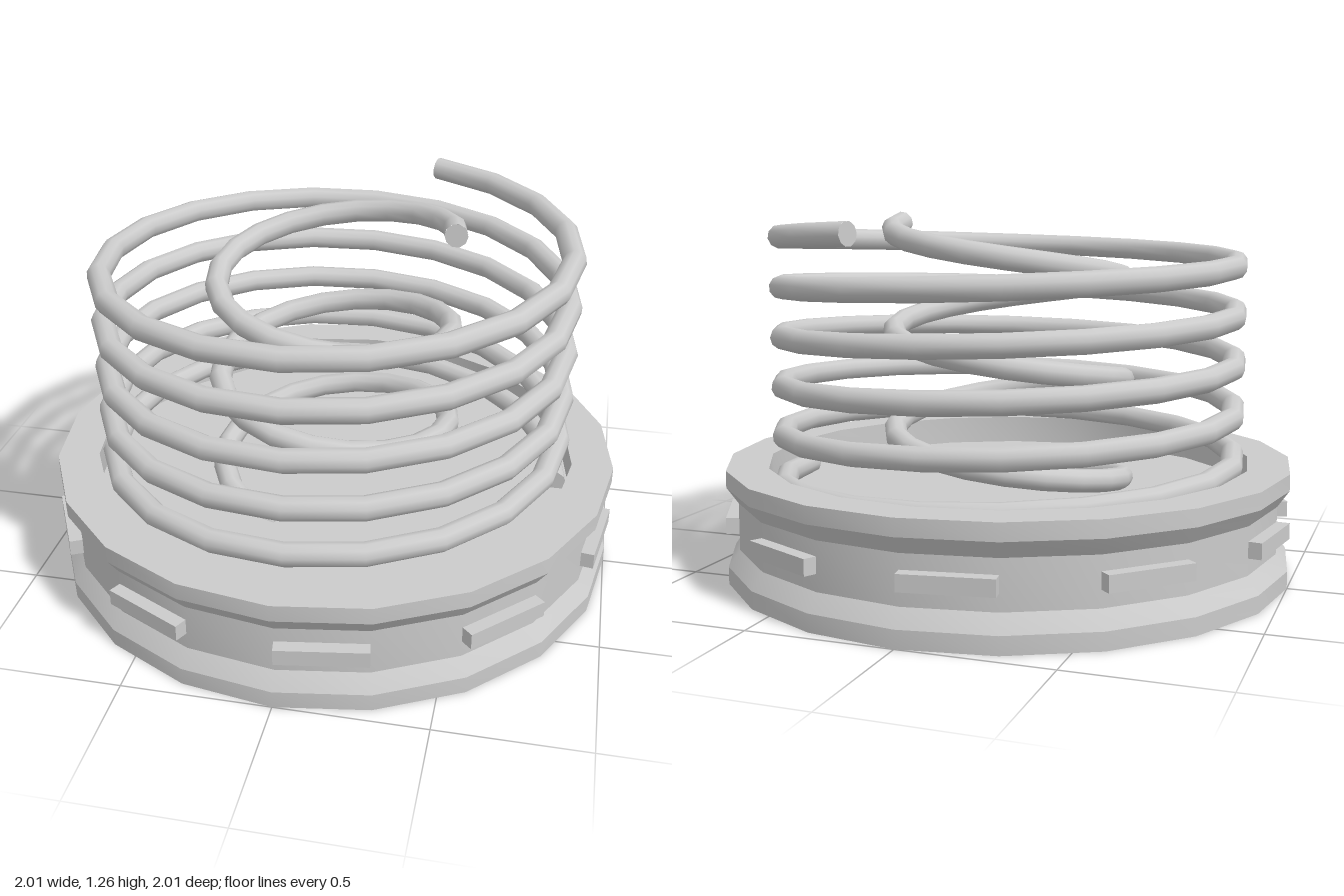
import * as THREE from 'three';
import { toCreasedNormals } from 'three/addons/utils/BufferGeometryUtils.js';

const SIDES = 20;
const material = new THREE.MeshStandardMaterial({ color: 0xcccccc });

function addMesh(parent, name, geometry) {
  const mesh = new THREE.Mesh(geometry, material);
  mesh.name = name;
  parent.add(mesh);
  return mesh;
}

class Helix extends THREE.Curve {
  // direction +1 turns from +x towards +z while climbing, -1 the other way
  constructor(radius, topY, pitch, turns, endAngle, direction) {
    super();
    Object.assign(this, { radius, topY, pitch, turns, endAngle, direction });
  }
  getPoint(t, target = new THREE.Vector3()) {
    const down = (1 - t) * this.turns;
    const a = this.endAngle - down * Math.PI * 2;
    return target.set(
      this.radius * Math.cos(a),
      this.topY - down * this.pitch,
      this.direction * this.radius * Math.sin(a)
    );
  }
}

// Round wire wound along a helix, closed at both ends
function makeSpring(name, curve, wire) {
  const spring = new THREE.Group();
  spring.name = name;
  const segments = Math.round(curve.turns * SIDES);
  addMesh(spring, name + 'Wire', new THREE.TubeGeometry(curve, segments, wire, 10));
  for (const t of [0, 1]) {
    const cap = addMesh(spring, name + 'End', new THREE.CircleGeometry(wire, 10));
    const outward = curve.getTangentAt(t).multiplyScalar(t ? 1 : -1);
    cap.position.copy(curve.getPointAt(t));
    cap.quaternion.setFromUnitVectors(new THREE.Vector3(0, 0, 1), outward);
  }
  return spring;
}

export function createModel() {
  const model = new THREE.Group();
  model.name = 'springBase';

  // Grooved round base with a shallow recess in the top
  const profile = [
    [0, 0], [1, 0], [1, 0.06], [0.96, 0.117], [0.96, 0.28], [1, 0.337],
    [1, 0.395], [0.855, 0.395], [0.855, 0.29], [0, 0.29],
  ].map(([r, y]) => new THREE.Vector2(r, y));
  addMesh(model, 'base', toCreasedNormals(new THREE.LatheGeometry(profile, SIDES), 0.5));

  // Raised grip block on every second facet of the groove
  const step = (Math.PI * 2) / SIDES;
  const width = 2 * 0.96 * Math.sin(step / 2);
  const apothem = 0.96 * Math.cos(step / 2);
  const blocks = new THREE.Group();
  blocks.name = 'gripBlocks';
  for (let i = 0; i < SIDES; i += 2) {
    const angle = (i + 0.5) * step;
    const block = addMesh(blocks, 'gripBlock', new THREE.BoxGeometry(width, 0.055, 0.06));
    const r = apothem + 0.015;
    block.position.set(r * Math.sin(angle), 0.202, r * Math.cos(angle));
    block.rotation.y = angle;
  }
  model.add(blocks);

  // Two springs wound in opposite directions
  const outer = new Helix(0.8, 1.2, 0.17, 5.2, Math.PI * 0.4, -1);
  const inner = new Helix(0.408, 1.225, 0.355, 2.7, 0, 1);
  model.add(makeSpring('outerSpring', outer, 0.04), makeSpring('innerSpring', inner, 0.04));

  return model;
}
